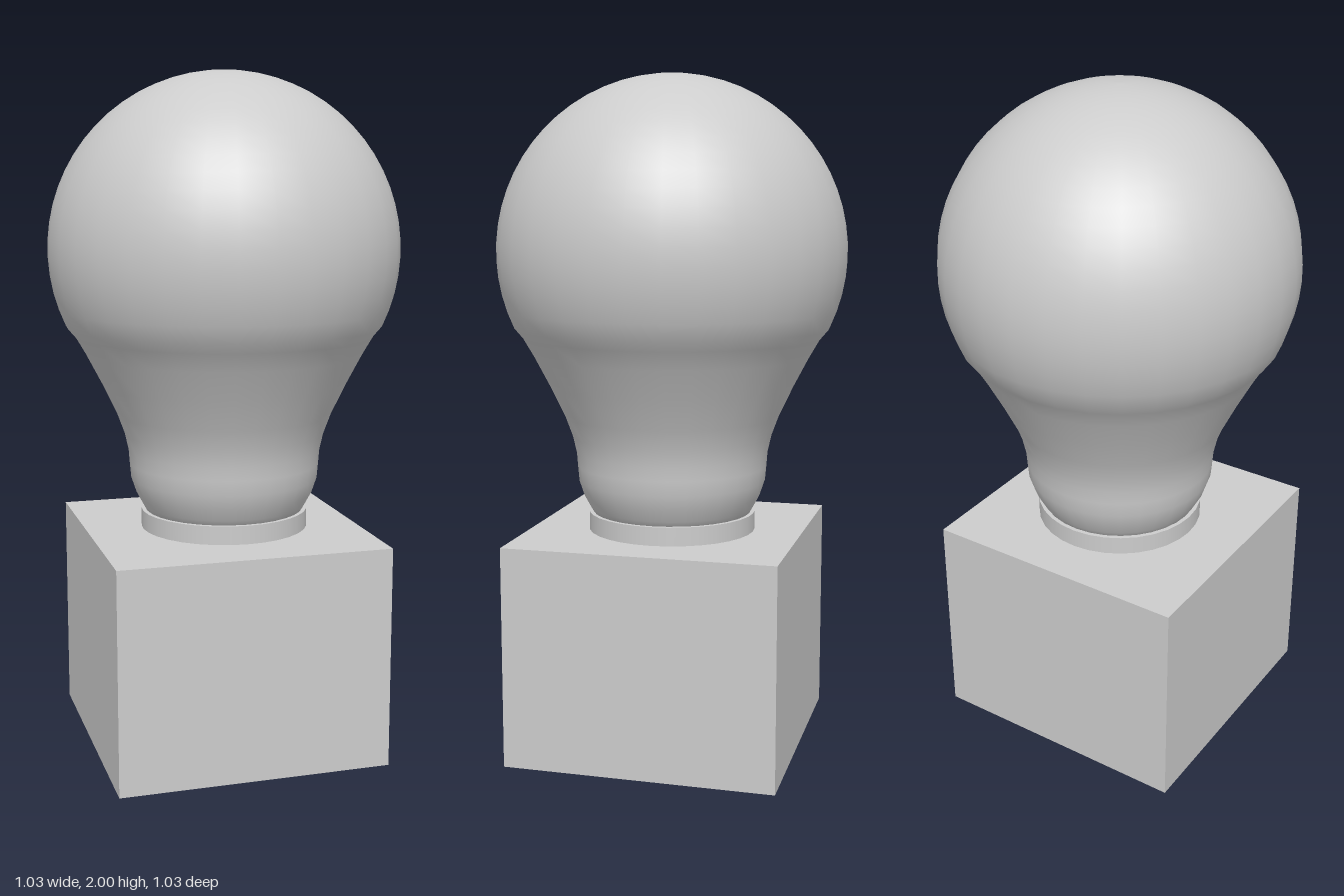
import * as THREE from 'three';

export function createModel() {
  const group = new THREE.Group();
  const grey = new THREE.MeshStandardMaterial({ color: 0xcccccc });
  grey.name = 'light grey';

  function add(name, geometry, x, y, z) {
    const mesh = new THREE.Mesh(geometry, grey);
    mesh.name = name;
    mesh.position.set(x, y, z);
    group.add(mesh);
  }

  // Square base block, slightly off the bulb's axis
  const baseHeight = 0.655;
  add('base', new THREE.BoxGeometry(0.803, baseHeight, 0.803), -0.017, baseHeight / 2, 0.006);

  // Thin collar between base and bulb
  add('collar', new THREE.CylinderGeometry(0.25, 0.25, 0.055, 32), 0, baseHeight + 0.0275, 0);

  // Glass bulb: flared neck running into a round dome
  const neck = [
    [0, 0.7], [0.232, 0.7], [0.246, 0.725], [0.265, 0.76], [0.28, 0.805], [0.284, 0.85],
    [0.287, 0.89], [0.298, 0.94], [0.32, 1.0], [0.363, 1.09], [0.41, 1.18], [0.442, 1.235],
  ].map(([r, y]) => new THREE.Vector2(r, y));
  const dome = [];
  const radius = 0.516, centre = 1.484, steps = 20;
  const start = -0.44;
  for (let i = 0; i <= steps; i++) {
    const a = start + (Math.PI / 2 - start) * (i / steps);
    dome.push(new THREE.Vector2(i === steps ? 0 : radius * Math.cos(a), centre + radius * Math.sin(a)));
  }
  add('bulb', new THREE.LatheGeometry([...neck, ...dome], 32), 0, 0, 0);

  return group;
}
